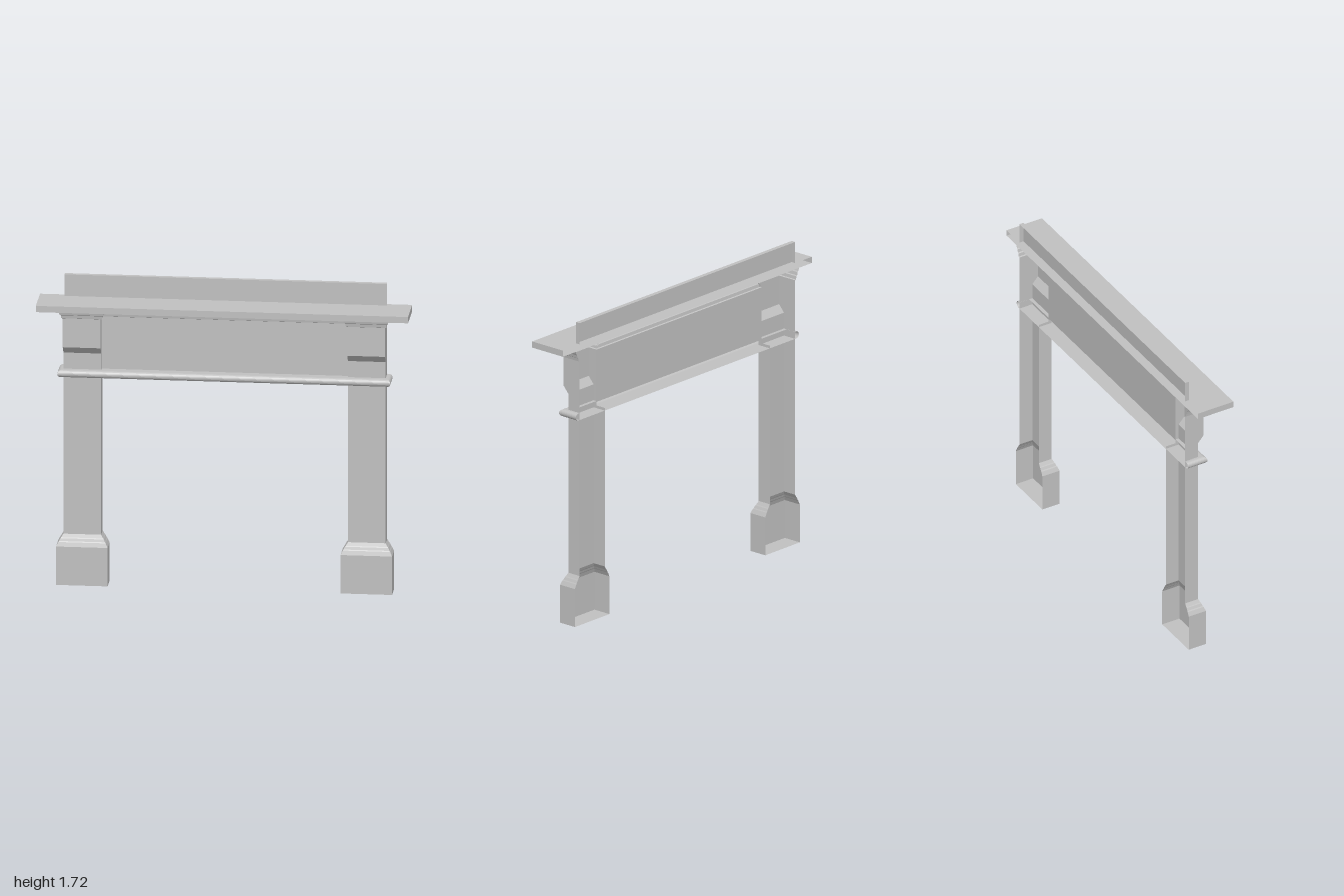
import * as THREE from 'three';

const BACK = -0.11;

export function createModel() {
  const group = new THREE.Group();
  group.name = 'fireplaceSurround';
  const paint = new THREE.MeshStandardMaterial({ color: 0xc0c0c0, side: THREE.DoubleSide });
  paint.name = 'greyPaint';

  const add = (name, geometry, parent = group) => {
    const mesh = new THREE.Mesh(geometry, paint);
    mesh.name = name;
    parent.add(mesh);
    return mesh;
  };

  // Flat-shaded skin over a stack of open rings, listed from bottom to top
  function skin(rings) {
    const p = [];
    for (let i = 0; i < rings.length - 1; i++) {
      for (let j = 0; j < rings[i].length - 1; j++) {
        const a = rings[i][j], b = rings[i][j + 1];
        const c = rings[i + 1][j + 1], d = rings[i + 1][j];
        p.push(...a, ...b, ...c, ...a, ...c, ...d);
      }
    }
    const g = new THREE.BufferGeometry();
    g.setAttribute('position', new THREE.Float32BufferAttribute(p, 3));
    g.computeVertexNormals();
    return g;
  }

  // Three-sided casing, open at the back; profile rows are [y, outward x, outward z]
  function casing(x0, x1, front, profile, back0 = BACK, back1 = BACK) {
    return skin(profile.map(([y, ox, oz = ox]) => [
      [x0 - ox, y, back0], [x0 - ox, y, front + oz],
      [x1 + ox, y, front + oz], [x1 + ox, y, back1],
    ]));
  }

  // Horizontal sheet
  function sheet(name, x0, x1, z0, z1, y, up, parent) {
    const g = new THREE.PlaneGeometry(x1 - x0, z1 - z0).rotateX(up ? -Math.PI / 2 : Math.PI / 2);
    add(name, g.translate((x0 + x1) / 2, y, (z0 + z1) / 2), parent);
  }

  const PANEL = -0.05, LEG = -0.03, CORBEL = 0.005;
  const crown = [[1.497, 0], [1.5, 0.007], [1.517, 0.01], [1.521, 0.016],
    [1.538, 0.02], [1.543, 0.025], [1.56, 0.032]];

  // Hollow pilasters
  for (const side of [-1, 1]) {
    const pilaster = new THREE.Group();
    pilaster.name = side > 0 ? 'leftPilaster' : 'rightPilaster';
    group.add(pilaster);
    const x0 = side > 0 ? 0.663 : -0.866, x1 = side > 0 ? 0.866 : -0.663;
    // Above the rail the inner wall stops at the panel
    const b0 = side > 0 ? PANEL : BACK, b1 = side > 0 ? BACK : PANEL;

    add('plinth', casing(x0, x1, LEG, [[0, 0.037, 0.027], [0.215, 0.037, 0.027]]), pilaster);
    sheet('plinthBottom', x0 - 0.037, x1 + 0.037, BACK, LEG + 0.027, 0, false, pilaster);
    add('baseMoulding', casing(x0, x1, LEG, [[0.215, 0.037, 0.027], [0.238, 0.026, 0.019],
      [0.243, 0.022, 0.016], [0.257, 0.015, 0.011], [0.262, 0.011, 0.008], [0.28, 0, 0]]), pilaster);
    add('leg', casing(x0, x1, LEG, [[0.28, 0], [1.18, 0]]), pilaster);
    const out = CORBEL - LEG;
    add('corbel', casing(x0, x1, LEG,
      [[1.18, 0, 0], [1.295, 0, 0], [1.335, 0, out], [1.497, 0, out]], b0, b1), pilaster);
    add('capital', casing(x0, x1, CORBEL, crown, b0, b1), pilaster);
  }

  // Frieze panel and its crown moulding
  const strip = (profile) => skin(profile.map(([y, o]) => [
    [-0.663, y, PANEL + o], [0.663, y, PANEL + o]]));
  add('friezePanel', strip([[1.2, 0], [1.497, 0]]));
  add('friezeMoulding', strip(crown));

  // Half-round rail wrapping the front and ends
  const r = 0.02, railY = 1.185, bead = [];
  for (let i = 0; i <= 12; i++) {
    const a = -Math.PI / 2 + (Math.PI * i) / 12;
    bead.push([railY + r * Math.sin(a), r * Math.cos(a)]);
  }
  bead.push([railY + r, -0.01, PANEL + 0.008]);
  add('rail', casing(-0.875, 0.875, -0.008, bead));
  sheet('railBottom', -0.875, 0.875, BACK, -0.008, railY - r, false);

  // Mantel shelf
  add('shelfEdge', casing(-1, 1, 0.11, [[1.56, 0], [1.595, 0]]));
  sheet('shelfBottom', -1, 1, BACK, 0.11, 1.56, false);
  sheet('shelfTop', -1, 1, BACK, 0.11, 1.595, true);

  // Upstand behind the shelf
  add('upstand', casing(-0.866, 0.866, -0.085, [[1.595, 0], [1.715, 0]]));
  sheet('upstandTop', -0.866, 0.866, BACK, -0.085, 1.715, true);

  return group;
}
